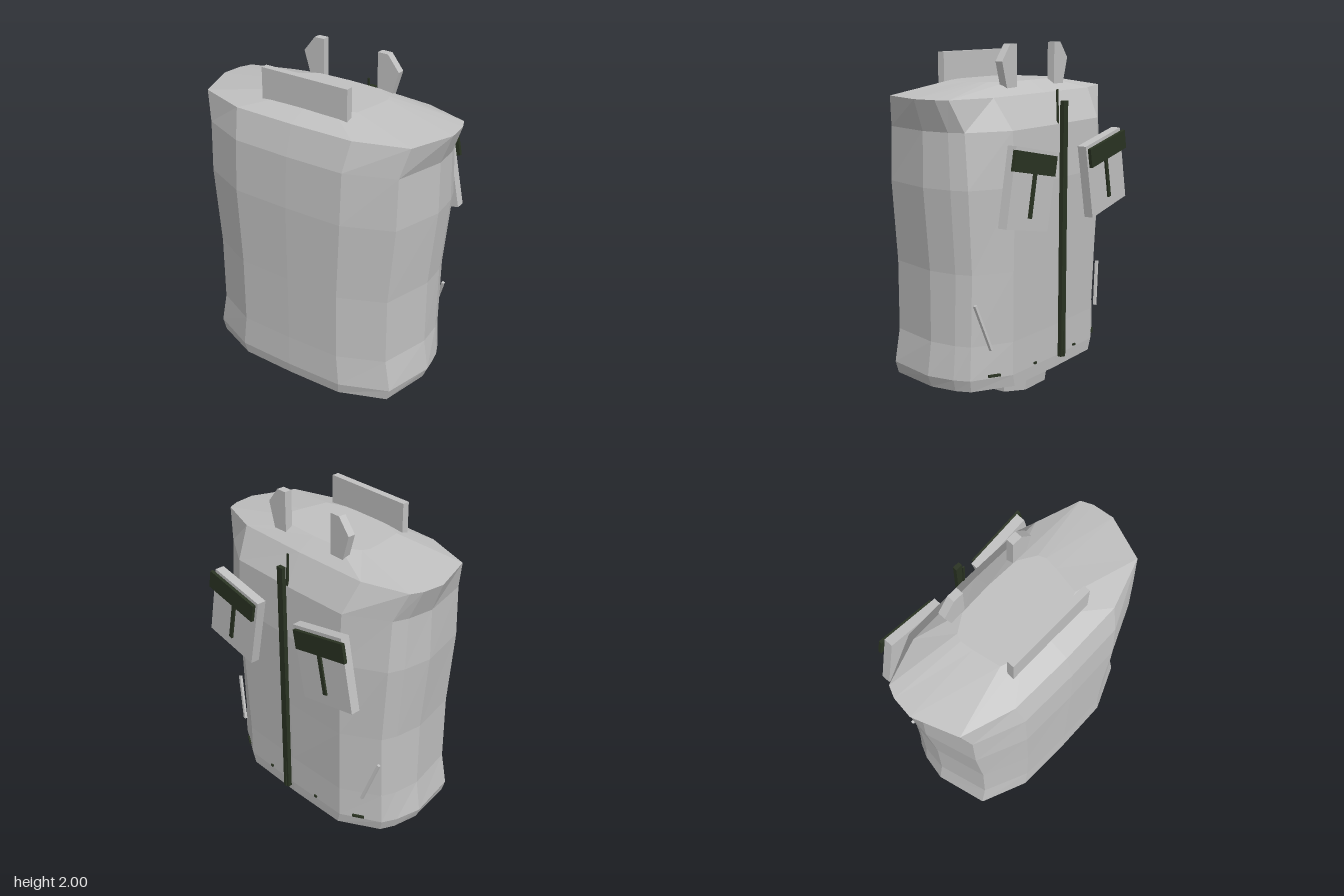
import * as THREE from 'three';

const grey = new THREE.MeshStandardMaterial({ color: 0xc0c0c0 });
grey.name = 'light grey';
const green = new THREE.MeshStandardMaterial({ color: 0x2a3322 });
green.name = 'dark green';

// Closed faceted solid from equal-length rings, bottom to top
function loft(rings) {
  const n = rings[0].length, index = [];
  for (let i = 0; i < rings.length - 1; i++) {
    for (let j = 0; j < n; j++) {
      const a = i * n + j, b = i * n + (j + 1) % n;
      index.push(a, b, b + n, a, b + n, a + n);
    }
  }
  const top = (rings.length - 1) * n;
  for (let j = 1; j < n - 1; j++) {
    index.push(0, j + 1, j, top, top + j, top + j + 1);
  }
  const g = new THREE.BufferGeometry();
  g.setAttribute('position', new THREE.Float32BufferAttribute(rings.flat(2), 3));
  g.setIndex(index);
  const flat = g.toNonIndexed();
  flat.computeVertexNormals();
  return flat;
}

// Half outline from front centre to back centre, mirrored into a full ring
function mirrorRing(y, half) {
  const right = half.filter(([x]) => x > 0).reverse().map(([x, z]) => [-x, z]);
  return [...half, ...right].map(([x, z]) => [x, y, z]);
}

function bodyRing([y, side, cx, cz, front, qx, qz, bx, back]) {
  return mirrorRing(y, [
    [0, front], [cx * 0.56, front - 0.008], [cx, cz], [side, 0.03],
    [side * 0.35 + qx * 0.65 + 0.015, 0.03 * 0.35 + qz * 0.65],
    [qx, qz], [bx, back + 0.008], [0, back],
  ]);
}

export function createModel() {
  const model = new THREE.Group();
  const add = (name, geometry, material, parent = model) => {
    const mesh = new THREE.Mesh(geometry, material);
    mesh.name = name;
    parent.add(mesh);
    return mesh;
  };
  const box = (name, size, pos, material, parent) => {
    const mesh = add(name, new THREE.BoxGeometry(...size), material, parent);
    mesh.position.set(...pos);
    return mesh;
  };
  // Thin bar between two points
  const bar = (name, from, to, w, d, material) => {
    const a = new THREE.Vector3(...from), b = new THREE.Vector3(...to);
    const dir = b.clone().sub(a);
    const mesh = box(name, [w, dir.length(), d], a.clone().add(b).multiplyScalar(0.5).toArray(), material);
    mesh.quaternion.setFromUnitVectors(new THREE.Vector3(0, 1, 0), dir.normalize());
  };

  // Torso: height, side x, front corner x z, front z, rear corner x z, back panel x z
  add('torso', loft([
    [0.14, 0.66, 0.60, 0.33, 0.445, 0.60, -0.20, 0.38, -0.34],
    [0.21, 0.69, 0.62, 0.335, 0.46, 0.62, -0.21, 0.40, -0.345],
    [0.40, 0.66, 0.585, 0.33, 0.455, 0.61, -0.21, 0.40, -0.345],
    [0.80, 0.66, 0.585, 0.33, 0.455, 0.61, -0.22, 0.41, -0.355],
    [1.26, 0.705, 0.625, 0.33, 0.458, 0.65, -0.23, 0.42, -0.37],
    [1.56, 0.70, 0.625, 0.32, 0.44, 0.65, -0.21, 0.42, -0.355],
    [1.73, 0.765, 0.67, 0.285, 0.39, 0.72, -0.165, 0.46, -0.26],
    [1.795, 0.31, 0.28, 0.19, 0.24, 0.30, -0.09, 0.20, -0.16],
  ].map(bodyRing)), grey);

  // Waist stub underneath
  const stub = (y, s) => mirrorRing(y, [
    [0.10 * s, 0.045 + 0.25 * s], [0.20 * s, 0.045 + 0.17 * s],
    [0.20 * s, 0.045 - 0.17 * s], [0.10 * s, 0.045 - 0.25 * s],
  ]);
  add('waistStub', loft([stub(0, 1), stub(0.15, 1.08)]), grey);

  // Upright collar plate
  box('collarPlate', [0.555, 0.18, 0.042], [0, 1.86, 0.257], grey);

  // Centre fastening strip and the slim slanted cord along it
  box('zipStrip', [0.042, 1.47, 0.025], [0, 0.955, -0.39], green);
  bar('zipCord', [0, 0.22, -0.407], [0, 1.75, -0.342], 0.012, 0.008, green);

  for (const s of [1, -1]) {
    // Shoulder tab with a clipped outer corner
    const shape = new THREE.Shape([
      [0.18, 1.76], [0.27, 1.76], [0.315, 1.91], [0.243, 2.0], [0.18, 2.0],
    ].map(([x, y]) => new THREE.Vector2(x * s, y)));
    const tab = new THREE.ExtrudeGeometry(shape, { depth: 0.045, bevelEnabled: false });
    add('shoulderTab', tab.translate(0, 0, -0.2), grey);

    // Tilted pocket with flap and strap
    const pocket = new THREE.Group();
    pocket.name = 'pocket';
    pocket.position.set(0.375 * s, 1.25, -0.415);
    pocket.rotation.z = 0.2 * s;
    model.add(pocket);
    box('pocketPouch', [0.38, 0.43, 0.055], [0, 0, 0], grey, pocket);
    box('pocketFlap', [0.385, 0.11, 0.02], [0.02 * s, 0.14, -0.037], green, pocket);
    box('pocketStrap', [0.026, 0.24, 0.012], [0, -0.03, -0.032], green, pocket);

    // Slanted piping and small hem stitches
    bar('sidePiping', [0.53 * s, 0.38, -0.285], [0.615 * s, 0.64, -0.242], 0.016, 0.016, grey);
    const outer = box('hemStitch', [0.07, 0.014, 0.014], [0.5 * s, 0.225, -0.283], green);
    outer.rotation.y = 0.53 * -s;
    box('hemStitch', [0.02, 0.012, 0.014], [0.2 * s, 0.225, -0.343], green);
  }
  return model;
}
